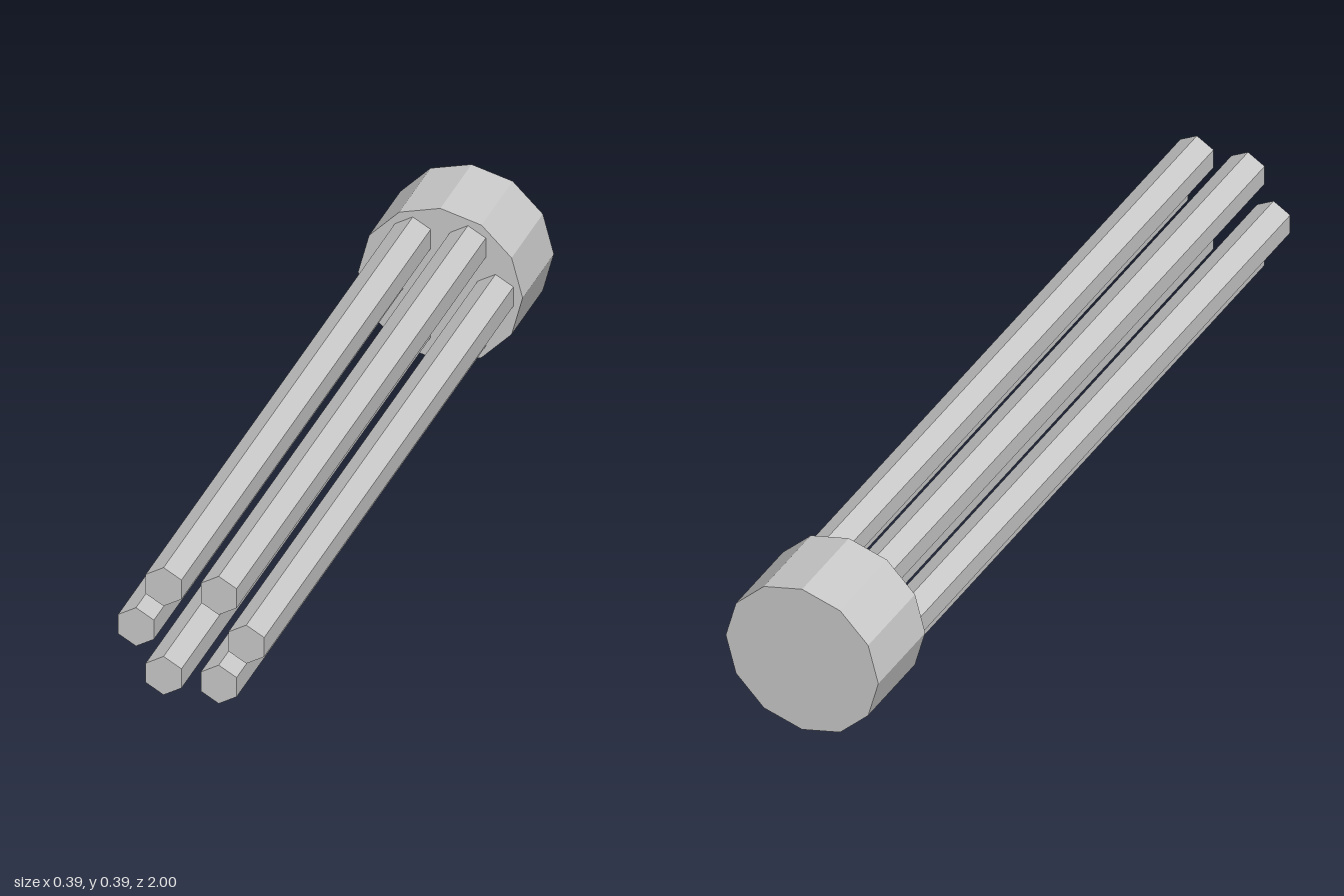
import * as THREE from 'three';

const AXIS_Y = 0.197;
const DRUM_FRONT = -0.777;

export function createModel() {
  const model = new THREE.Group();
  const material = new THREE.MeshStandardMaterial({ color: 0xcccccc, flatShading: true });

  // Prism lying along z between two depths
  function prism(name, radius, sides, zBack, zFront, x, y) {
    const geometry = new THREE.CylinderGeometry(radius, radius, zFront - zBack, sides);
    geometry.rotateX(Math.PI / 2);
    const mesh = new THREE.Mesh(geometry, material);
    mesh.name = name;
    mesh.position.set(x, y, (zBack + zFront) / 2);
    model.add(mesh);
  }

  // Twelve-sided drum at the back
  prism('drum', 0.197, 12, -1, DRUM_FRONT, 0, AXIS_Y);

  // Ring of six hexagonal barrels
  for (let i = 0; i < 6; i++) {
    const a = (i * Math.PI) / 3;
    prism(`barrel${i + 1}`, 0.0495, 6, DRUM_FRONT, 1, 0.132 * Math.cos(a), AXIS_Y + 0.132 * Math.sin(a));
  }

  return model;
}
